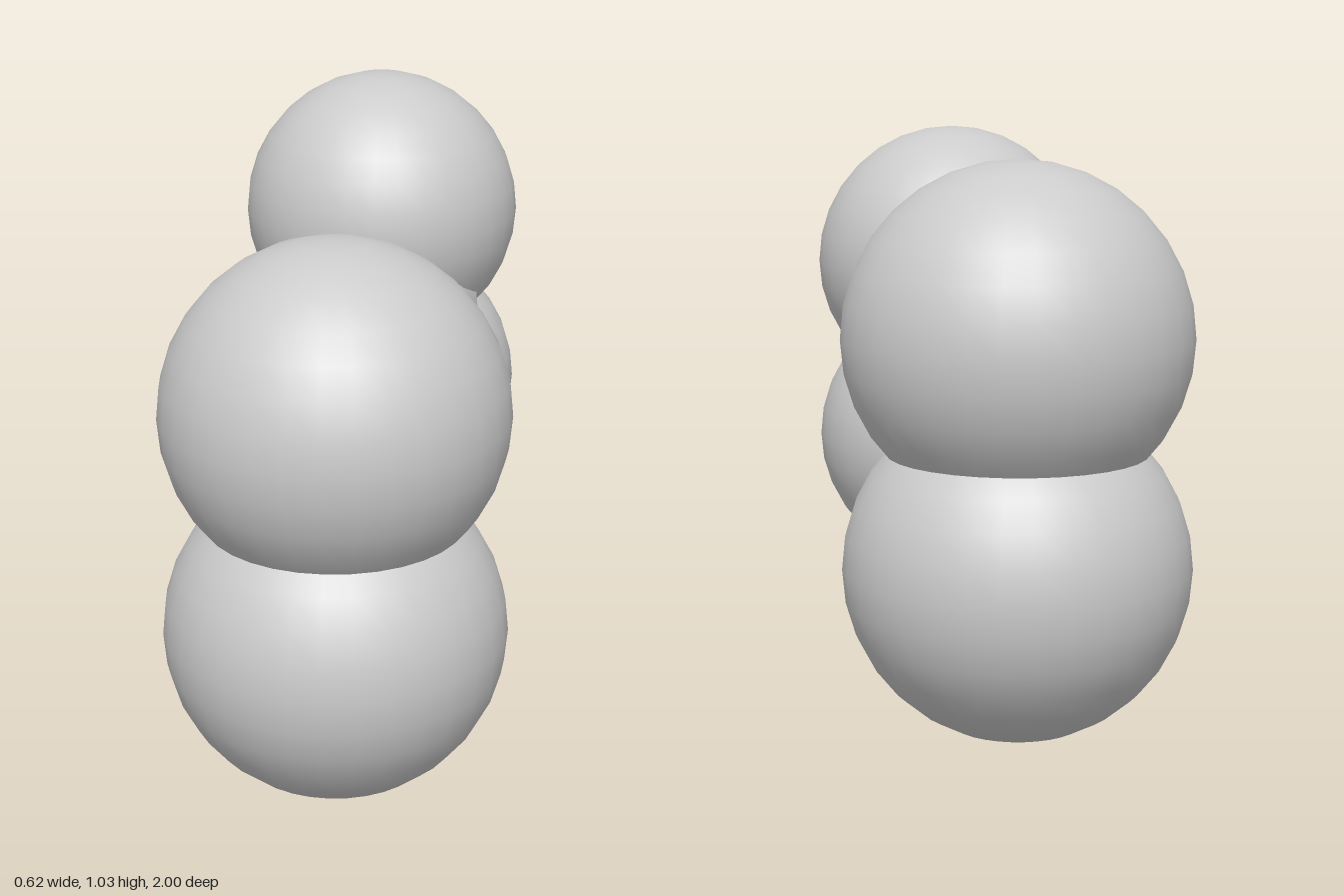
import * as THREE from 'three';

export function createModel() {
  const group = new THREE.Group();
  group.name = 'bone';
  const material = new THREE.MeshStandardMaterial({ color: 0xcccccc });

  // Four knobs, a stacked pair at each end
  const knob = new THREE.SphereGeometry(0.312, 32, 16);
  for (const [end, z] of [['front', 0.688], ['back', -0.688]]) {
    for (const [level, y] of [['Upper', 0.728], ['Lower', 0.317]]) {
      const mesh = new THREE.Mesh(knob, material);
      mesh.name = `${end}${level}Knob`;
      mesh.position.set(0, y, z);
      group.add(mesh);
    }
  }

  // Waisted shaft with flat caps, turned about the z axis
  const profile = [
    [0.23, -0.55], [0.155, -0.317], [0.12, -0.083],
    [0.12, 0.15], [0.155, 0.383], [0.23, 0.63],
  ].map(([r, z]) => new THREE.Vector2(r, z));
  const shaft = new THREE.Group();
  shaft.name = 'shaft';
  shaft.position.y = 0.52;
  const tube = new THREE.Mesh(new THREE.LatheGeometry(profile, 32).rotateX(Math.PI / 2), material);
  tube.name = 'shaftBody';
  shaft.add(tube);
  for (const [name, p, turn] of [['backCap', profile[0], Math.PI], ['frontCap', profile[5], 0]]) {
    const cap = new THREE.Mesh(new THREE.CircleGeometry(p.x, 32), material);
    cap.name = name;
    cap.rotation.y = turn;
    cap.position.z = p.y;
    shaft.add(cap);
  }
  group.add(shaft);
  return group;
}
